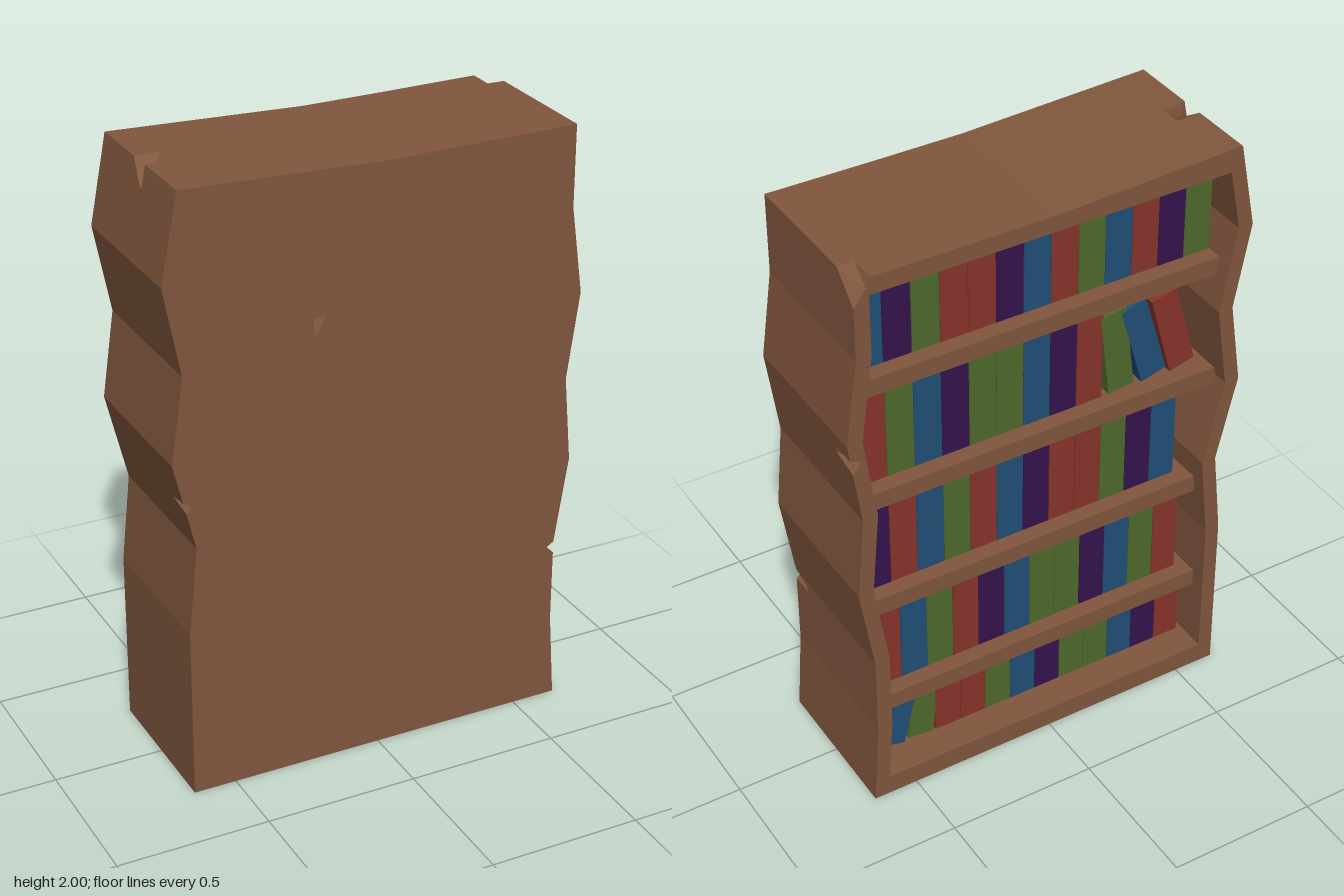
import * as THREE from 'three';

const wood = new THREE.MeshStandardMaterial({ color: 0x82573e });
wood.name = 'brown wood';
const covers = {};
for (const [key, name, hex] of [
  ['r', 'red cover', 0x86342b], ['g', 'green cover', 0x4f6b2b],
  ['b', 'blue cover', 0x204e78], ['p', 'purple cover', 0x35134c],
]) {
  covers[key] = new THREE.MeshStandardMaterial({ color: hex });
  covers[key].name = name;
}

const BACK = -0.26, FRONT = 0.26, PANEL = 0.2, WALL = 0.05;
const FLOOR = 0.07, CEILING = 1.92;

// Crooked side edges, bottom to top
const plusSide = [[0.65, 0], [0.63, 0.286], [0.63, 0.57], [0.675, 0.86], [0.65, 1.143], [0.69, 1.43], [0.65, 1.715], [0.65, 1.98]];
const minusSide = [[-0.64, 0], [-0.64, 0.57], [-0.61, 0.86], [-0.68, 1.15], [-0.64, 1.43], [-0.695, 1.715], [-0.64, 2]];

// x of a side edge at a given height
function edgeX(side, y) {
  const i = Math.max(1, side.findIndex((p) => p[1] >= y));
  const [a, b] = [side[i - 1], side[i]];
  return a[0] + (b[0] - a[0]) * (y - a[1]) / (b[1] - a[1]);
}

// Chips in the edges: the point at `at` moves to `to` on the ring at depth z
const chips = [
  { at: [0.65, 1.98], to: [0.61, 1.945], z: BACK },
  { at: [edgeX(plusSide, 1.35), 1.35], to: [0.645, 1.36], z: BACK },
  { at: [edgeX(plusSide, 0.55), 0.55], to: [0.605, 0.555], z: FRONT },
  { at: [edgeX(minusSide, 1.003), 1.003], to: [-0.622, 1.005], z: FRONT },
  { at: [-0.64, 2], to: [-0.618, 1.955], z: 0.03 },
];

function outline() {
  const on = (side, ys) => ys.map((y) => [edgeX(side, y), y]);
  const right = [...plusSide, ...on(plusSide, [0.53, 0.55, 1.325, 1.35, 1.375, 1.89])];
  const left = [...minusSide, ...on(minusSide, [0.985, 1.003, 1.02, 1.93])];
  right.sort((a, b) => a[1] - b[1]);
  left.sort((a, b) => b[1] - a[1]);
  return [...right, [0.595, 1.979], [0.28, 1.976], [0, 1.975], [-0.56, 1.997], ...left];
}

// Outline with the chips that belong to depth z
function ring(z) {
  return outline().map((p) => {
    const chip = chips.find((c) => c.z === z && Math.hypot(c.at[0] - p[0], c.at[1] - p[1]) < 1e-6);
    return chip ? chip.to : p;
  });
}

// Opening that follows the crooked sides
function opening() {
  const inner = (side, s) => [FLOOR, ...side.map((p) => p[1]).filter((y) => y > 0.1 && y < 1.9), CEILING]
    .map((y) => [edgeX(side, y) - s * WALL, y]);
  return [...inner(plusSide, 1), ...inner(minusSide, -1).reverse()];
}

// Flat-shaded carcass from rings, caps and the inside of the opening
function carcassGeometry() {
  const pos = [];
  const tri = (a, b, c) => pos.push(...a, ...b, ...c);
  const wallBetween = (r0, z0, r1, z1, inward) => r0.forEach((p, i) => {
    const j = (i + 1) % r0.length;
    const a = [...p, z0], b = [...r0[j], z0], c = [...r1[j], z1], d = [...r1[i], z1];
    if (inward) { tri(a, c, b); tri(a, d, c); } else { tri(a, b, c); tri(a, c, d); }
  });
  const cap = (points, holes, z, back) => {
    const v = (list) => list.map((p) => new THREE.Vector2(...p));
    const shape = new THREE.Shape(v(points));
    shape.holes = holes.map((h) => new THREE.Path(v(h)));
    const g = new THREE.ShapeGeometry(shape).toNonIndexed();
    const at = g.attributes.position;
    for (let i = 0; i < at.count; i += 3) {
      const [a, b, c] = [0, 1, 2].map((k) => [at.getX(i + k), at.getY(i + k), z]);
      if (back) tri(a, c, b); else tri(a, b, c);
    }
  };

  const zs = [BACK, -0.17, -0.04, 0.03, 0.04, 0.18, FRONT];
  for (let i = 1; i < zs.length; i++) wallBetween(ring(zs[i - 1]), zs[i - 1], ring(zs[i]), zs[i], false);
  const hole = opening();
  cap(ring(BACK), [hole], BACK, true);
  wallBetween(hole, BACK, hole, PANEL, true);
  cap(hole, [], PANEL, true);

  // Small triangular pit in the solid face
  const pit = [[-0.225, 1.525], [-0.215, 1.46], [-0.18, 1.53]];
  cap(ring(FRONT), [pit], FRONT, false);
  const deep = [-0.21, 1.515, FRONT - 0.03];
  pit.forEach((p, i) => tri([...p, FRONT], [...pit[(i + 1) % 3], FRONT], deep));

  const g = new THREE.BufferGeometry();
  g.setAttribute('position', new THREE.Float32BufferAttribute(pos, 3));
  g.computeVertexNormals();
  return g;
}

const BOOK_PITCH = 0.0938;
function book(key, x, y, height, lean = 0) {
  const g = new THREE.BoxGeometry(BOOK_PITCH - 0.002, height, 0.33);
  g.translate(0, height / 2, 0);
  const mesh = new THREE.Mesh(g, covers[key]);
  mesh.name = 'book';
  mesh.position.set(x, y + Math.abs(Math.sin(lean)) * BOOK_PITCH / 2, 0.015);
  mesh.rotation.z = lean;
  return mesh;
}

export function createModel() {
  const model = new THREE.Group();
  model.name = 'bookcase';
  const carcass = new THREE.Mesh(carcassGeometry(), wood);
  carcass.name = 'carcass';
  model.add(carcass);

  // Shelves, let into the crooked side walls
  const shelfDepth = PANEL + 0.205;
  for (const y of [1.56, 1.145, 0.735, 0.33]) {
    const x0 = edgeX(minusSide, y) + 0.03, x1 = edgeX(plusSide, y) - 0.03;
    const shelf = new THREE.Mesh(new THREE.BoxGeometry(x1 - x0, 0.06, shelfDepth), wood);
    shelf.name = 'shelf';
    shelf.position.set((x0 + x1) / 2, y, PANEL - shelfDepth / 2);
    model.add(shelf);
  }

  // Rows of upright books from +x to -x, plus leaning ones as [cover, x, lean]
  const rows = [
    { y: 1.59, h: 0.285, x: 0.6, books: 'bpgrrpbrgbrpg', leaning: [] },
    { y: 1.175, h: 0.31, x: 0.6, books: 'rgbpggbpr', leaning: [['g', -0.315, -0.12], ['b', -0.435, -0.28], ['r', -0.54, -0.26]] },
    { y: 0.765, h: 0.31, x: 0.6, books: 'prbgrbprrgpb', leaning: [] },
    { y: 0.36, h: 0.31, x: 0.575, books: 'rbgrpbggpbgr', leaning: [] },
    { y: FLOOR, h: 0.222, x: 0.365, books: 'rrgbpggbpr', leaning: [['b', 0.525, 0.24], ['g', 0.42, 0.12]] },
  ];
  for (const row of rows) {
    const group = new THREE.Group();
    group.name = 'bookRow';
    [...row.books].forEach((key, i) => group.add(book(key, row.x - (i + 0.5) * BOOK_PITCH, row.y, row.h)));
    for (const [key, x, lean] of row.leaning) group.add(book(key, x, row.y, row.h - 0.015, lean));
    model.add(group);
  }
  return model;
}
